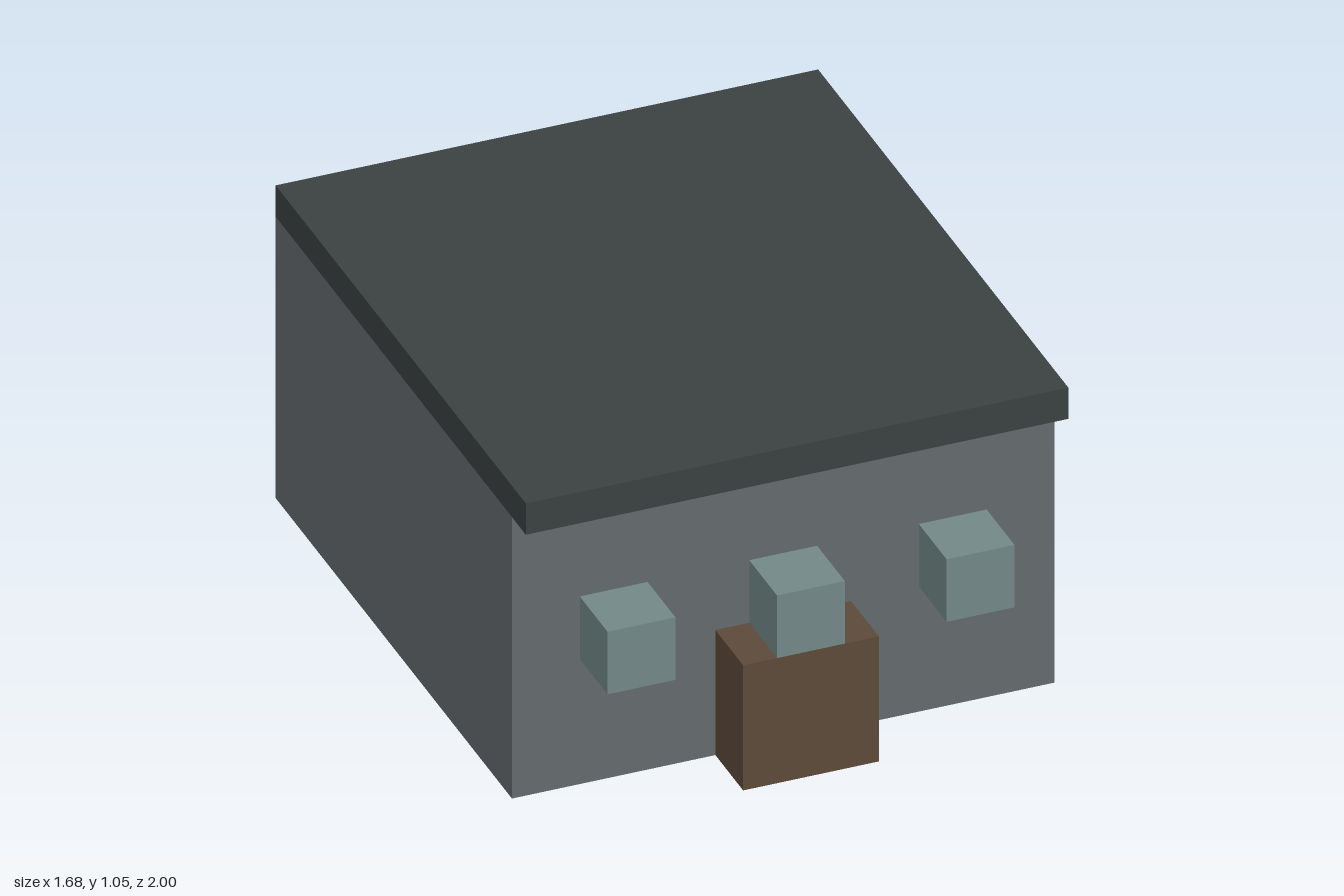
import * as THREE from 'three';

// One building block; every part is a whole number of blocks
const U = 2 / 19;

const wallGrey = new THREE.MeshStandardMaterial({ color: 0x646a6d });
wallGrey.name = 'wallGrey';
const roofCharcoal = new THREE.MeshStandardMaterial({ color: 0x3b4141 });
roofCharcoal.name = 'roofCharcoal';
const doorBrown = new THREE.MeshStandardMaterial({ color: 0x5c4a3a });
doorBrown.name = 'doorBrown';
const windowTeal = new THREE.MeshStandardMaterial({ color: 0x738888 });
windowTeal.name = 'windowTeal';

// Box given in blocks: centre x, bottom y, back z (from the rear), then size
function block(name, material, x, y, z, w, h, d) {
  const mesh = new THREE.Mesh(new THREE.BoxGeometry(w * U, h * U, d * U), material);
  mesh.position.set(x * U, (y + h / 2) * U, (z + d / 2) * U - 1);
  mesh.name = name;
  return mesh;
}

export function createModel() {
  const model = new THREE.Group();
  model.name = 'house';

  // Main body, and a flat roof that overhangs the front
  model.add(block('walls', wallGrey, 0, 0, 0, 16, 9, 17));
  model.add(block('roof', roofCharcoal, 0, 9, 0, 16, 1, 18));

  // Door block standing out from the front wall
  model.add(block('door', doorBrown, 0, 0, 17, 4, 4, 2));

  // Row of three projecting windows
  const windows = { rightWindow: -5, middleWindow: 0, leftWindow: 5 };
  for (const [name, x] of Object.entries(windows)) {
    model.add(block(name, windowTeal, x, 4, 17, 2, 2, 2));
  }

  return model;
}
